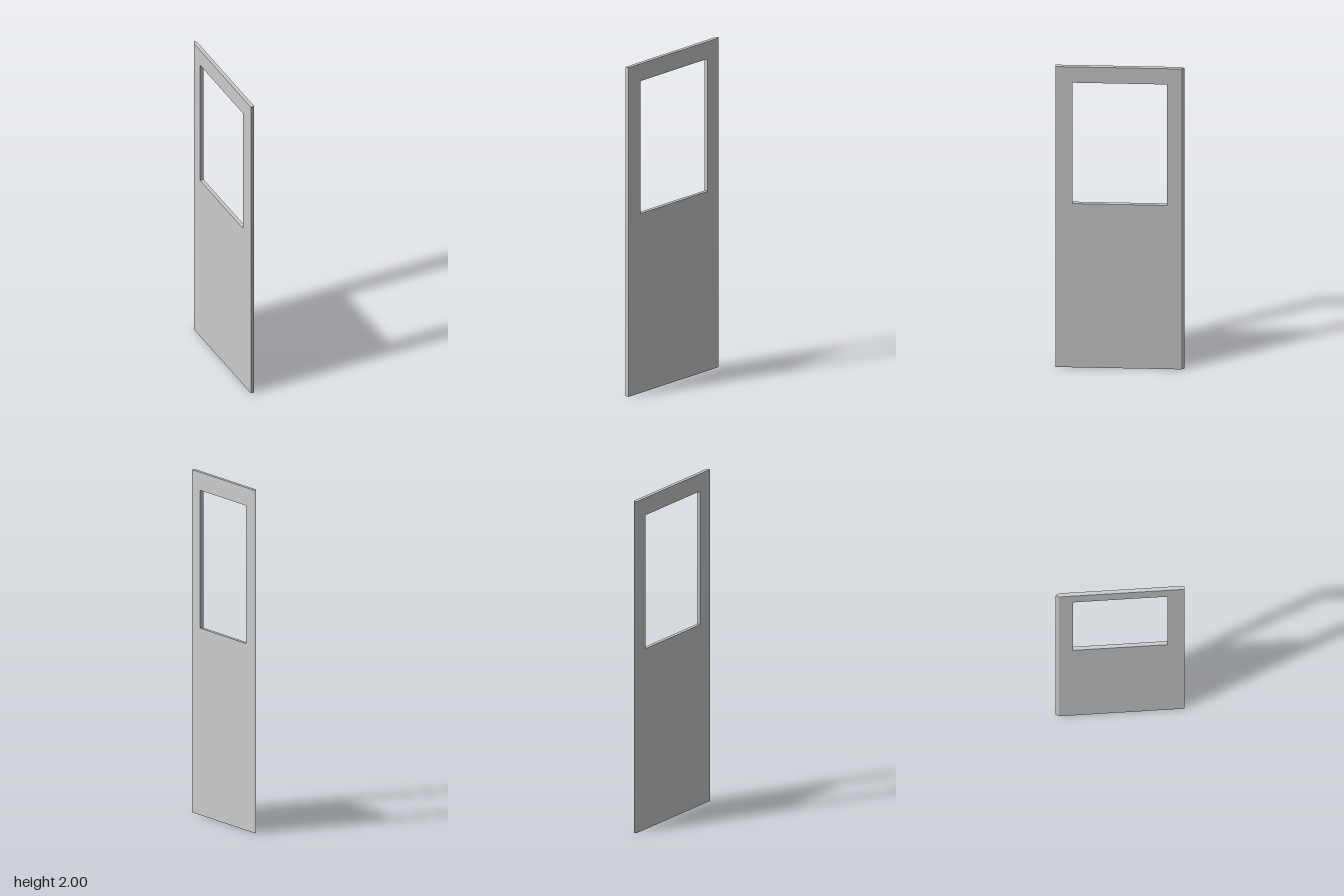
import * as THREE from 'three';

const THICK = 0.022, HEIGHT = 2;
const FRONT = 0.37, SHOULDER = -0.35, TIP = -0.37;

// Rectangle outline in the (z, y) plane
function rect(Type, z0, z1, y0, y1) {
  return new Type([[z0, y0], [z1, y0], [z1, y1], [z0, y1]].map(p => new THREE.Vector2(...p)));
}

export function createModel() {
  const model = new THREE.Group();
  model.name = 'doorPanel';

  // Flat panel with a window opening in its upper half
  const outline = rect(THREE.Shape, SHOULDER, FRONT, 0, HEIGHT);
  outline.holes.push(rect(THREE.Path, -0.27, 0.273, 1.09, 1.895));
  const geometry = new THREE.ExtrudeGeometry(outline, { depth: THICK, steps: 2, bevelEnabled: false });
  geometry.translate(0, 0, -THICK / 2);

  // Push the middle of the rear edge outward into a pointed edge
  const pos = geometry.attributes.position;
  for (let i = 0; i < pos.count; i++) {
    if (Math.abs(pos.getZ(i)) < 0.001 && pos.getX(i) < SHOULDER + 0.001) pos.setX(i, TIP);
  }
  geometry.computeVertexNormals();
  geometry.rotateY(-Math.PI / 2);

  const panel = new THREE.Mesh(geometry, new THREE.MeshStandardMaterial({ color: 0xcccccc, flatShading: true }));
  panel.name = 'panel';
  model.add(panel);
  return model;
}
